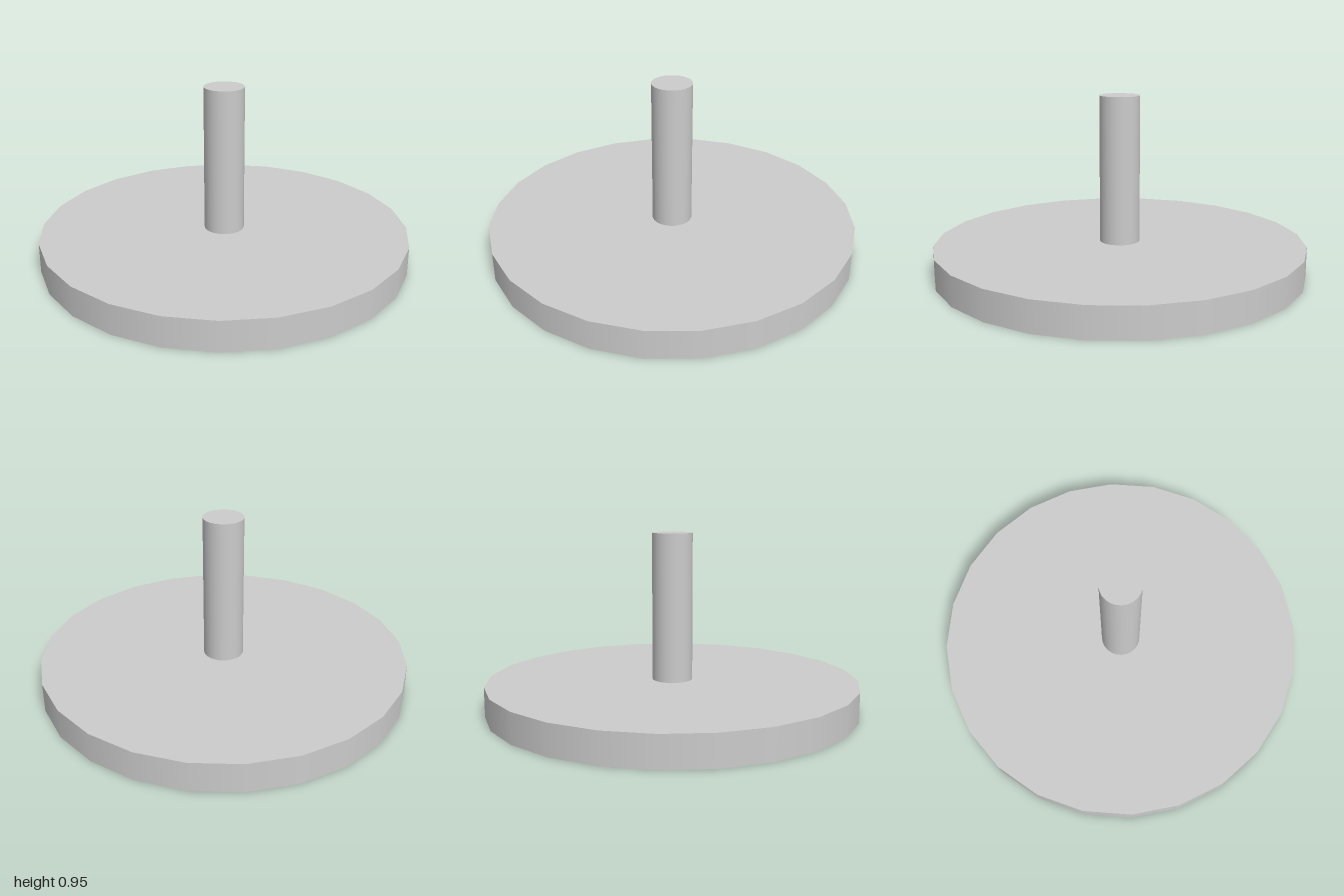
import * as THREE from 'three';

const material = new THREE.MeshStandardMaterial({ color: 0xcccccc });

// Upright capped cylinder spanning y0..y1
function cylinder(name, radius, y0, y1) {
  const mesh = new THREE.Mesh(new THREE.CylinderGeometry(radius, radius, y1 - y0, 24), material);
  mesh.name = name;
  mesh.position.y = (y0 + y1) / 2;
  return mesh;
}

export function createModel() {
  const model = new THREE.Group();
  model.name = 'discWithStem';
  model.add(
    cylinder('disc', 1, 0, 0.16), // wide flat base
    cylinder('stem', 0.108, 0.16, 0.95), // central post
  );
  return model;
}
